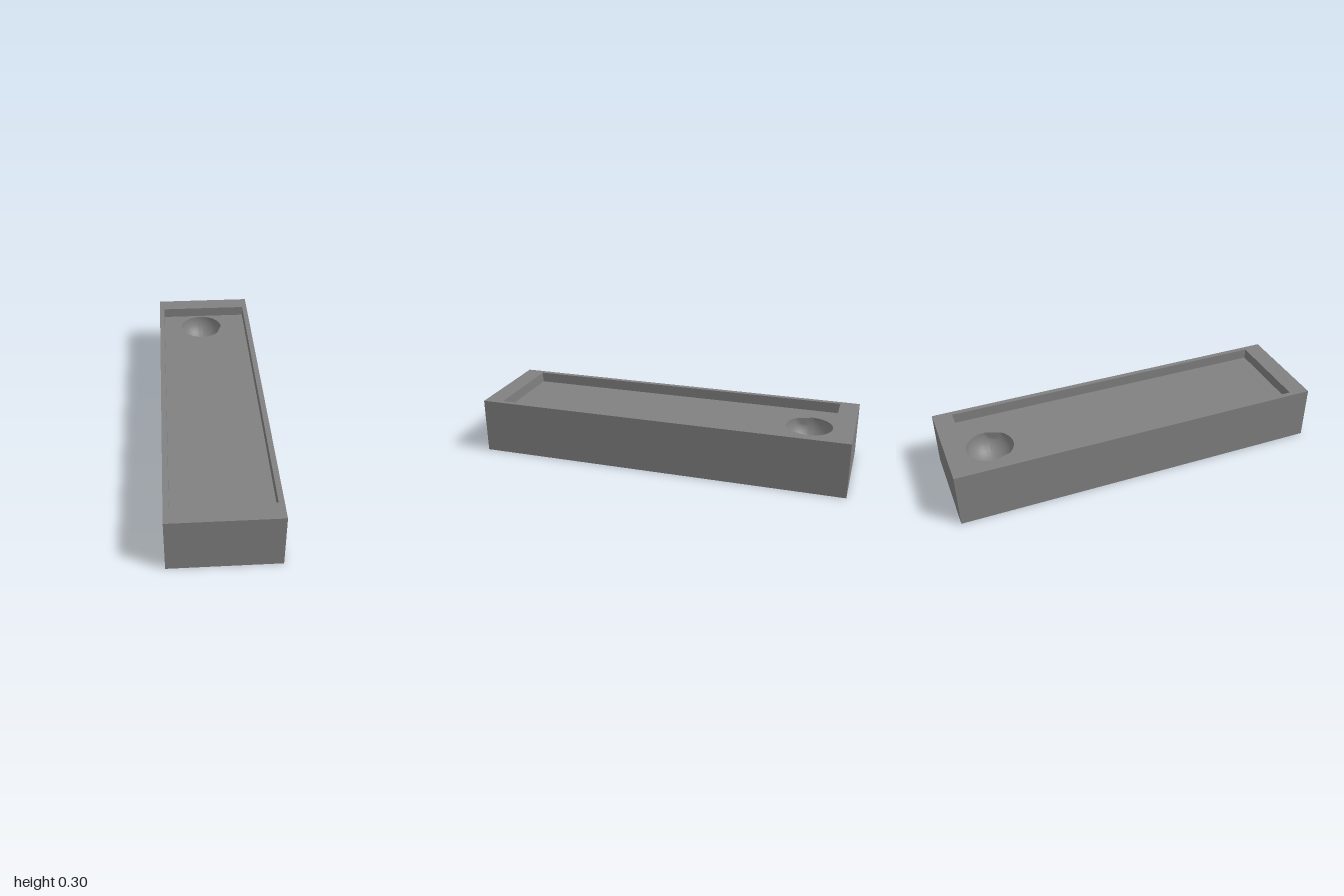
import * as THREE from 'three';
import { toCreasedNormals } from 'three/addons/utils/BufferGeometryUtils.js';

const W = 0.278, D = 1, H = 0.296;             // outer half width, half depth, height
const RW = 0.25, RD = 0.897, FLOOR = 0.24;     // recess half width, half depth, floor height
const PIT = { x: -0.02, z: -0.762, r: 0.123 }; // round pit in the floor
const SEGMENTS = 72, CUT = THREE.MathUtils.degToRad(40);

const material = new THREE.MeshStandardMaterial({ color: 0x808080 });

// Radius limit of the pit: a flat chord on each side towards the front
function pitRadius(x, z) {
  const a = Math.atan2(z, Math.abs(x));
  return a > 0 && a < CUT ? PIT.r * Math.cos(CUT / 2) / Math.cos(a - CUT / 2) : PIT.r;
}

function rectangle(w, d) {
  return [[-w, -d], [w, -d], [w, d], [-w, d]].map(([x, y]) => new THREE.Vector2(x, y));
}

// Horizontal sheet facing up, with an optional hole
function sheet(outline, hole) {
  const shape = new THREE.Shape(outline);
  if (hole) shape.holes.push(new THREE.Path(hole));
  return new THREE.ShapeGeometry(shape).rotateX(-Math.PI / 2);
}

export function createModel() {
  const group = new THREE.Group();
  const add = (name, geometry, parent = group) => {
    const mesh = new THREE.Mesh(geometry, material);
    mesh.name = name;
    parent.add(mesh);
    return mesh;
  };

  // Four upright walls, facing outward or inward
  const addWalls = (name, w, d, y0, y1, inward) => {
    const walls = new THREE.Group();
    walls.name = name;
    for (let i = 0; i < 4; i++) {
      const [width, offset] = i % 2 ? [2 * d, w] : [2 * w, d];
      const g = new THREE.PlaneGeometry(width, y1 - y0);
      if (inward) g.rotateY(Math.PI);
      g.translate(0, (y0 + y1) / 2, offset).rotateY(i * Math.PI / 2);
      add(name + 'Side', g, walls);
    }
    group.add(walls);
  };

  addWalls('outerWall', W, D, 0, H, false);
  addWalls('recessWall', RW, RD, FLOOR, H, true);
  add('base', sheet(rectangle(W, D)).rotateX(Math.PI));
  add('rim', sheet(rectangle(W, D), rectangle(RW, RD))).position.y = H;

  // Recess floor with the pit opening
  const opening = [];
  for (let i = 0; i < SEGMENTS; i++) {
    const a = (i / SEGMENTS) * Math.PI * 2, x = Math.cos(a), z = Math.sin(a);
    const r = pitRadius(x, z);
    opening.push(new THREE.Vector2(PIT.x + r * x, -(PIT.z + r * z)));
  }
  add('recessFloor', sheet(rectangle(RW, RD), opening)).position.y = FLOOR;

  // Bowl of the pit: a dome mirrored downward so that its faces point inward
  const bowl = new THREE.SphereGeometry(PIT.r, SEGMENTS, 18, 0, Math.PI * 2, 0, Math.PI / 2).scale(1, -1, 1);
  const p = bowl.attributes.position;
  for (let i = 0; i < p.count; i++) {
    const x = p.getX(i), z = p.getZ(i), rho = Math.hypot(x, z);
    const k = rho > 0 ? Math.min(1, pitRadius(x, z) / rho) : 1;
    p.setX(i, x * k);
    p.setZ(i, z * k);
  }
  add('pitBowl', toCreasedNormals(bowl, 0.4)).position.set(PIT.x, FLOOR, PIT.z);

  return group;
}
